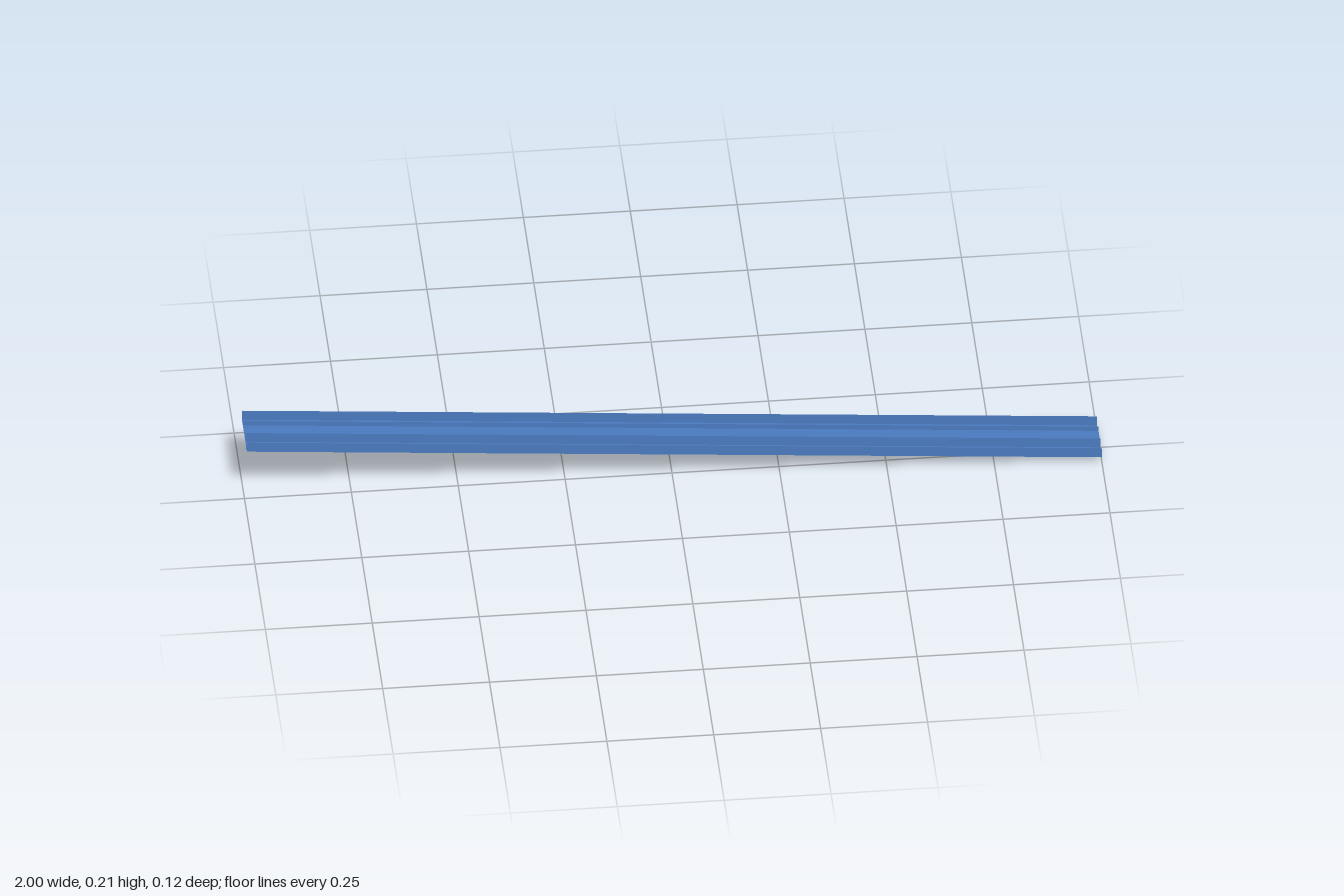
import * as THREE from 'three';

const HALF = 1;        // half length along x
const MID = 0.1035;    // deck height at the middle
const SLOPE = -0.0835; // fall towards +x

// Sloping sheet swept between two cross-section points (z, height above deck)
function strip(name, material, [z1, h1], [z2, h2]) {
  const geometry = new THREE.PlaneGeometry(2 * HALF, 1);
  const p = geometry.attributes.position;
  for (let i = 0; i < p.count; i++) {
    const x = p.getX(i);
    const t = p.getY(i) + 0.5;
    p.setXYZ(i, x, MID + SLOPE * x + h1 + (h2 - h1) * t, z1 + (z2 - z1) * t);
  }
  geometry.computeVertexNormals();
  const mesh = new THREE.Mesh(geometry, material);
  mesh.name = name;
  return mesh;
}

export function createModel() {
  const blue = new THREE.MeshStandardMaterial({ color: 0x4a7abf, side: THREE.DoubleSide });
  blue.name = 'blue';
  const model = new THREE.Group();
  model.name = 'slopingChannel';
  const add = (name, a, b) => model.add(strip(name, blue, a, b));

  // Main deck and raised centre bed
  add('deck', [0.061, 0], [-0.061, 0]);
  add('centreBed', [0.023, 0.013], [-0.023, 0.013]);

  // Outer side walls, centre rails and bed supports
  for (const s of [1, -1]) {
    add('sideWall', [s * 0.061, 0], [s * 0.061, 0.0265]);
    add('centreRail', [s * 0.023, 0], [s * 0.023, 0.0255]);
    add('bedSupport', [s * 0.018, 0], [s * 0.018, 0.013]);
  }

  // Low ridges on the deck
  for (const z of [0.045, 0.04, -0.04, -0.045, -0.05]) {
    add('ridge', [z, 0], [z, 0.004]);
  }

  // Fin hanging below the deck
  add('lowerFin', [0.032, -0.018], [0.032, 0]);
  return model;
}
